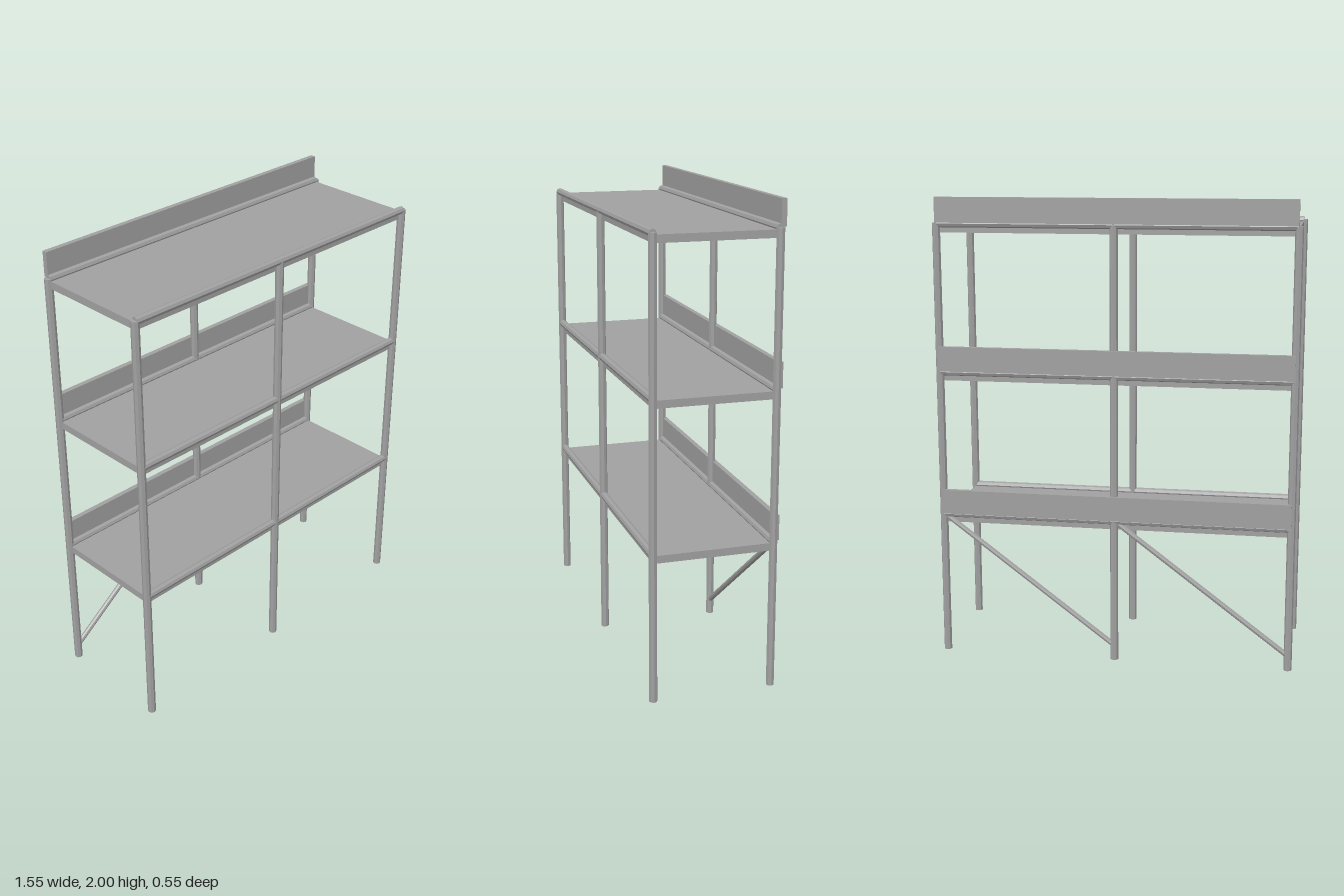
import * as THREE from 'three';

export function createModel() {
  const model = new THREE.Group();
  const steel = new THREE.MeshStandardMaterial({ color: 0xa0a0a0, flatShading: true });
  steel.name = 'plain grey';

  const bay = 0.757, lift = 0.63;
  const zFront = 0.255, zBack = -0.2505;
  const columns = [-bay, 0, bay];

  // Eight-sided tube between two points
  function tube(name, a, b, radius) {
    const dir = new THREE.Vector3().subVectors(b, a);
    const mesh = new THREE.Mesh(new THREE.CylinderGeometry(radius, radius, dir.length(), 8), steel);
    mesh.position.addVectors(a, b).multiplyScalar(0.5);
    mesh.quaternion.setFromUnitVectors(new THREE.Vector3(0, 1, 0), dir.normalize());
    mesh.name = name;
    model.add(mesh);
  }

  function box(name, w, h, d, x, y, z) {
    const mesh = new THREE.Mesh(new THREE.BoxGeometry(w, h, d), steel);
    mesh.position.set(x, y, z);
    mesh.name = name;
    model.add(mesh);
  }

  const P = (x, y, z) => new THREE.Vector3(x, y, z);

  // Upright posts and long rails on both sides
  for (const z of [zFront, zBack]) {
    for (const x of columns) tube('post', P(x, 0, z), P(x, 3 * lift + 0.003, z), 0.0175);
    for (let i = 1; i <= 3; i++) tube('rail', P(-bay, i * lift, z), P(bay, i * lift, z), 0.0165);
  }

  // Decks with an upright toe board along the back
  for (let i = 1; i <= 3; i++) {
    box('deck', 2 * bay, 0.032, zFront - zBack, 0, i * lift - 0.022, (zFront + zBack) / 2);
    box('toeBoard', 2 * bay, 0.106, 0.022, 0, i * lift + 0.057, -0.2635);
  }

  // Diagonal braces in the lowest back bays
  for (const x of [-bay, 0]) tube('brace', P(x, 0.063, zBack), P(x + bay, lift, zBack), 0.012);

  return model;
}
